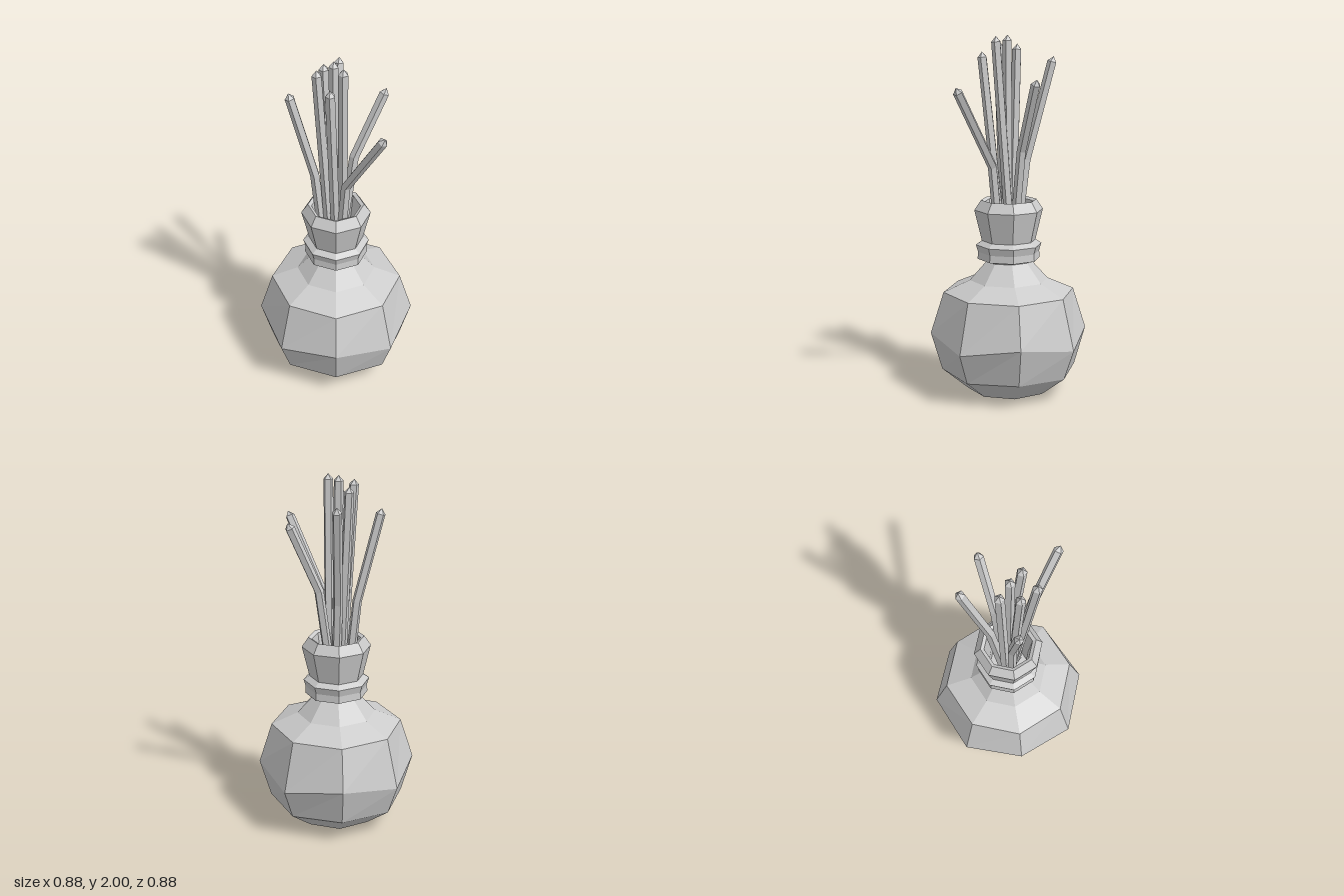
import * as THREE from 'three';

const material = new THREE.MeshStandardMaterial({ color: 0xcccccc, flatShading: true, side: THREE.DoubleSide });

// Skin a list of equal rings of Vector3; each ring runs from +x towards -z, listed bottom to top
function loft(rings) {
  const n = rings[0].length;
  const index = [];
  for (let r = 0; r < rings.length - 1; r++) {
    for (let i = 0; i < n; i++) {
      const a = r * n + i, b = r * n + (i + 1) % n;
      index.push(a, b, b + n, a, b + n, a + n);
    }
  }
  const geometry = new THREE.BufferGeometry().setFromPoints(rings.flat());
  geometry.setIndex(index);
  geometry.computeVertexNormals();
  return geometry;
}

// Octagonal ring; lift raises the diagonal corners for a hand-cut look
function octagon([radius, y, lift = 0]) {
  return Array.from({ length: 8 }, (_, i) => {
    const a = i * Math.PI / 4;
    return new THREE.Vector3(Math.cos(a) * radius, y + (i % 2) * lift, -Math.sin(a) * radius);
  });
}

// Five-sided reed along a path, closed by a short pointed tip
function reed(path) {
  const points = path.map(p => new THREE.Vector3(...p));
  const last = points.length - 1;
  const end = points[last].clone().sub(points[last - 1]).normalize();
  const tip = points[last].clone();
  points[last].addScaledVector(end, -0.03);
  const up = new THREE.Vector3(0, 1, 0);
  const rings = points.map((p, k) => {
    const before = points[Math.max(k - 1, 0)], after = points[Math.min(k + 1, last)];
    const turn = new THREE.Quaternion().setFromUnitVectors(up, after.clone().sub(before).normalize());
    return Array.from({ length: 5 }, (_, i) => {
      const a = i * Math.PI * 2 / 5 + 0.3;
      return new THREE.Vector3(Math.cos(a), 0, -Math.sin(a)).multiplyScalar(0.027).applyQuaternion(turn).add(p);
    });
  });
  rings.push(Array.from({ length: 5 }, () => tip.clone()));
  return loft(rings);
}

export function createModel() {
  const group = new THREE.Group();
  const add = (name, geometry) => {
    const mesh = new THREE.Mesh(geometry, material);
    mesh.name = name;
    group.add(mesh);
  };

  // Round bottle body: radius, height, corner lift
  add('bottleBody', loft([
    [0, 0.005], [0.23, 0.022], [0.378, 0.135, 0.008], [0.44, 0.305, 0.05],
    [0.367, 0.585], [0.22, 0.65], [0.125, 0.755], [0.125, 0.8],
  ].map(octagon)));

  // Band around the base of the neck
  add('neckCollar', loft([
    [0.12, 0.755], [0.175, 0.77], [0.172, 0.81], [0.184, 0.85], [0.14, 0.88],
  ].map(octagon)));

  // Flared neck with rim, inner wall and floor
  add('bottleNeck', loft([
    [0.12, 0.75], [0.148, 0.86], [0.192, 1.045], [0.155, 1.1],
    [0.135, 1.09], [0.11, 0.9], [0.11, 0.78], [0, 0.78],
  ].map(octagon)));

  // Reeds: foot, optional bend, tip
  const reeds = [
    [[0.05, 0.8, 0.02], [0.105, 1.29, 0.03], [0.395, 1.735, 0.05]],
    [[0.0, 0.8, -0.03], [0.03, 1.38, -0.11], [0.11, 1.775, -0.265]],
    [[-0.02, 0.8, -0.03], [-0.07, 1.32, -0.07], [-0.16, 1.885, -0.185]],
    [[-0.04, 0.8, 0.05], [-0.08, 1.3, 0.08], [-0.167, 1.815, 0.18]],
    [[-0.03, 0.8, 0.0], [-0.085, 1.95, 0.005]],
    [[0.0, 0.8, 0.0], [-0.005, 2.0, 0.012]],
    [[-0.01, 0.8, 0.03], [-0.04, 1.97, 0.1]],
    [[0.02, 0.8, -0.035], [0.08, 1.995, 0.027]],
    [[0.025, 0.8, 0.02], [0.08, 1.91, 0.122]],
  ];
  reeds.forEach((path, i) => add(`reed${i + 1}`, reed(path)));

  return group;
}
